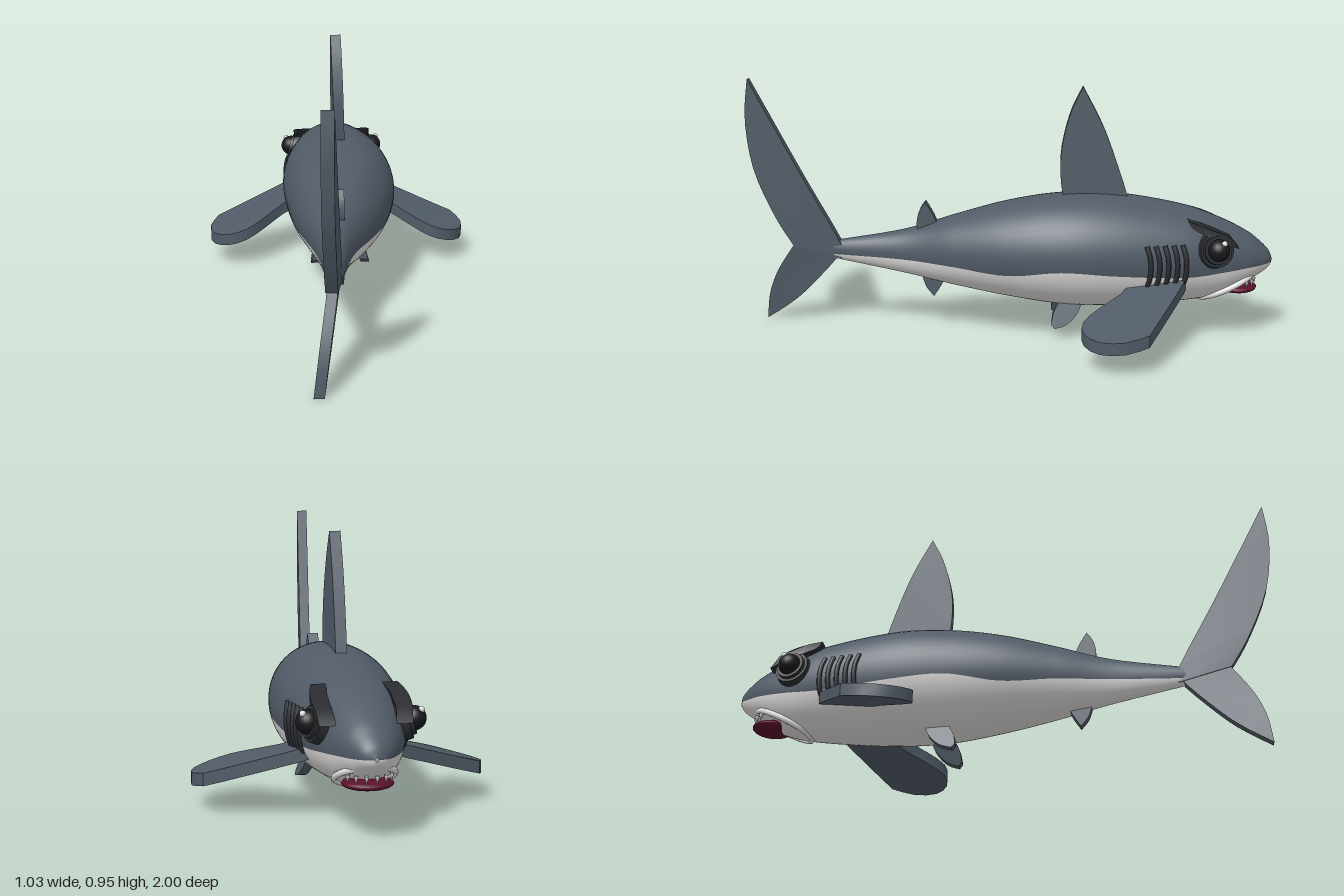
import * as THREE from 'three';
import { toCreasedNormals } from 'three/addons/utils/BufferGeometryUtils.js';
import { ParametricGeometry } from 'three/addons/geometries/ParametricGeometry.js';

const material = (name, color) => {
  const m = new THREE.MeshStandardMaterial({ color });
  m.name = name;
  return m;
};

// Body stations: z, top, bottom, half width, centre x, height of the colour line
const STATIONS = [
  [-1.0, 0.297, 0.285, 0.006, 0, 0.29],
  [-0.985, 0.33, 0.262, 0.04, 0, 0.288],
  [-0.95, 0.365, 0.236, 0.07, 0, 0.285],
  [-0.9, 0.402, 0.205, 0.1, 0, 0.283],
  [-0.8, 0.452, 0.158, 0.14, 0, 0.275],
  [-0.65, 0.503, 0.133, 0.182, 0, 0.265],
  [-0.4, 0.543, 0.115, 0.217, 0, 0.28],
  [-0.2, 0.542, 0.12, 0.216, 0, 0.292],
  [0, 0.508, 0.145, 0.186, -0.012, 0.265],
  [0.2, 0.45, 0.178, 0.13, -0.03, 0.278],
  [0.4, 0.385, 0.215, 0.065, -0.055, 0.282],
  [0.67, 0.335, 0.265, 0.022, -0.073, 0.285],
];
const curveOf = (cols) => new THREE.CatmullRomCurve3(
  STATIONS.map((s) => new THREE.Vector3(...cols.map((c) => s[c]))), false, 'catmullrom');
const heights = curveOf([0, 1, 2]);
const widths = curveOf([3, 4, 5]);

function section(t) {
  const a = heights.getPoint(t), b = widths.getPoint(t);
  return { z: a.x, cy: (a.y + a.z) / 2, h: (a.y - a.z) / 2, w: b.x, cx: b.y, split: b.z };
}

// Point on the left flank at a given z and y
function flank(z, y, out = 0) {
  let lo = 0, hi = 1;
  for (let i = 0; i < 30; i++) {
    const mid = (lo + hi) / 2;
    if (section(mid).z < z) lo = mid; else hi = mid;
  }
  const s = section(lo), k = (y - s.cy) / s.h;
  return new THREE.Vector3(s.cx + s.w * Math.sqrt(Math.max(0, 1 - k * k)) + out, y, z);
}

// Half of the body skin, above or below the colour line
function skin(lower) {
  return new ParametricGeometry((u, v, target) => {
    const s = section(v);
    const a = Math.asin(THREE.MathUtils.clamp((s.split - s.cy) / s.h, -0.95, 0.95));
    const from = lower ? Math.PI - a : a;
    const to = lower ? 2 * Math.PI + a : Math.PI - a;
    const angle = from + (to - from) * u;
    target.set(s.cx + s.w * Math.cos(angle), s.cy + s.h * Math.sin(angle), s.z);
  }, 28, 66);
}

// Plate from spline segments, each vertex then placed by a rule
function plate(segments, depth, place) {
  const points = segments.flatMap((seg) => {
    const v = seg.map(([a, b]) => new THREE.Vector2(a, b));
    return v.length > 2 ? new THREE.SplineCurve(v).getPoints(14) : v;
  });
  const clean = points.filter((p, i) => p.distanceTo(points[(i + 1) % points.length]) > 1e-5);
  const geo = new THREE.ExtrudeGeometry(new THREE.Shape(clean), { depth, bevelEnabled: false });
  const pos = geo.attributes.position;
  for (let i = 0; i < pos.count; i++) {
    pos.setXYZ(i, ...place(pos.getX(i), pos.getY(i), pos.getZ(i) - depth / 2));
  }
  return toCreasedNormals(geo, 0.6);
}

// Upright plate drawn in (z, y); offset gives its x at each point
const upright = (segments, depth, offset) => plate(
  segments.map((seg) => seg.map(([z, y]) => [-z, y])), depth,
  (a, y, d) => [d + offset(-a, y), y, -a]);

export function createModel() {
  const slate = material('slate skin', 0x515b67);
  const white = material('white belly', 0xe2e0de);
  const dark = material('dark trim', 0x2a2c31);
  const black = material('eye black', 0x18191c);
  const red = material('mouth red', 0x5c0f2c);

  const model = new THREE.Group();
  model.name = 'shark';
  const add = (name, geo, mat, parent = model) => {
    const mesh = new THREE.Mesh(geo, mat);
    mesh.name = name;
    parent.add(mesh);
    return mesh;
  };

  add('back', skin(false), slate);
  add('belly', skin(true), white);

  // Fins on the centre line
  add('dorsalFin', upright([
    [[-0.46, 0.5], [-0.43, 0.6], [-0.36, 0.79], [-0.28, 0.945]],
    [[-0.28, 0.945], [-0.235, 0.85], [-0.203, 0.72], [-0.2, 0.6], [-0.215, 0.5]],
  ], 0.04, (z, y) => -0.025 * (y - 0.5)), slate);
  add('rearDorsalFin', upright([
    [[0.26, 0.4], [0.285, 0.455], [0.312, 0.5]],
    [[0.312, 0.5], [0.335, 0.465], [0.345, 0.42], [0.34, 0.38]],
  ], 0.042, () => -0.04), slate);
  add('analFin', upright([
    [[0.23, 0.23], [0.25, 0.18], [0.282, 0.13]],
    [[0.282, 0.13], [0.31, 0.165], [0.325, 0.21], [0.32, 0.24]],
  ], 0.042, () => -0.038), slate);

  // Tail, swung to one side
  const swing = (z, y) => -0.07 - (z - 0.65) * 0.13 - Math.max(0, 0.3 - y) * 0.11;
  add('upperTailLobe', upright([
    [[0.64, 0.27], [0.64, 0.325], [0.785, 0.585], [0.985, 0.955]],
    [[0.985, 0.955], [1.0, 0.8], [0.975, 0.61], [0.9, 0.43], [0.83, 0.315]],
  ], 0.042, swing), slate);
  add('lowerTailLobe', upright([
    [[0.65, 0.325], [0.65, 0.28], [0.78, 0.135], [0.86, 0.065], [0.95, 0.003]],
    [[0.95, 0.003], [0.935, 0.11], [0.895, 0.21], [0.825, 0.318]],
  ], 0.036, swing), slate);

  // Mouth with lip ring and small teeth
  const lip = add('lipRing', new THREE.TorusGeometry(1, 0.1, 10, 40), white);
  lip.scale.set(0.098, 0.118, 0.11);
  lip.position.set(0, 0.2, -0.828);
  lip.rotation.x = -1.115;
  const mouth = add('mouth', new THREE.SphereGeometry(1, 28, 14), red);
  mouth.scale.set(0.085, 0.02, 0.074);
  mouth.position.set(0, 0.187, -0.872);
  for (let i = 0; i < 6; i++) {
    const a = (i - 2.5) * 0.42;
    const tooth = add('tooth', new THREE.ConeGeometry(0.008, 0.03, 6), white);
    tooth.position.set(0.082 * Math.sin(a), 0.208, -0.865 - 0.07 * Math.cos(a));
    tooth.rotation.x = Math.PI;
  }

  // Paired parts
  for (const side of [1, -1]) {
    const half = new THREE.Group();
    half.name = side > 0 ? 'leftSide' : 'rightSide';
    half.scale.x = side;
    model.add(half);

    add('pectoralFin', plate([
      [[0.15, 0.66], [0.2, 0.645], [0.485, 0.505]],
      [[0.485, 0.505], [0.517, 0.42], [0.5, 0.33], [0.44, 0.278], [0.37, 0.278],
        [0.3, 0.335], [0.22, 0.42], [0.15, 0.46]],
    ], 0.045, (x, b, d) => [
      x, d + 0.215 - 0.3 * (x - 0.2) - 0.1 * (0.55 - b) + 0.25 * Math.max(0, x - 0.4) ** 2, -b,
    ]), slate, half);
    add('pelvicFin', upright([
      [[-0.285, 0.15], [-0.265, 0.1], [-0.225, 0.06], [-0.18, 0.045]],
      [[-0.168, 0.06], [-0.175, 0.1], [-0.2, 0.15]],
    ], 0.035, (z, y) => 0.07 + (0.135 - y) * 0.33), slate, half);

    // Gill slits
    for (let i = 0; i < 5; i++) {
      const z = -0.52 - i * 0.033;
      const path = [0.39, 0.35, 0.305, 0.26, 0.22].map((y, k) =>
        flank(z + 0.004 * (k - 2) ** 2 - 0.008, y, 0.002));
      add('gill', new THREE.TubeGeometry(new THREE.CatmullRomCurve3(path), 14, 0.009, 8), dark, half);
    }

    // Eye in stepped rings, with a glint
    const eye = new THREE.Group();
    eye.name = 'eye';
    eye.position.set(0.142, 0.363, -0.768);
    eye.lookAt(1.07, 0.583, -1.0);
    half.add(eye);
    [[0.07, 0.04, 0.0], [0.057, 0.03, 0.018]].forEach(([r, len, at]) => {
      const ring = add('eyeRing', toCreasedNormals(new THREE.CylinderGeometry(r * 0.92, r, len, 28), 0.6), dark, eye);
      ring.rotation.x = Math.PI / 2;
      ring.position.z = at;
    });
    const ball = add('eyeball', new THREE.SphereGeometry(0.041, 24, 16), black, eye);
    ball.position.z = 0.034;
    const glint = add('glint', new THREE.SphereGeometry(0.011, 12, 8), white, eye);
    glint.position.set(0.012, 0.024, 0.064);

    // Angry brow
    add('brow', upright([
      [[-0.665, 0.472], [-0.69, 0.44], [-0.77, 0.405], [-0.855, 0.37]],
      [[-0.82, 0.415], [-0.75, 0.445], [-0.665, 0.472]],
    ], 0.055, (z) => 0.135 - 1.5 * (z + 0.77) ** 2), dark, half);
  }
  return model;
}
